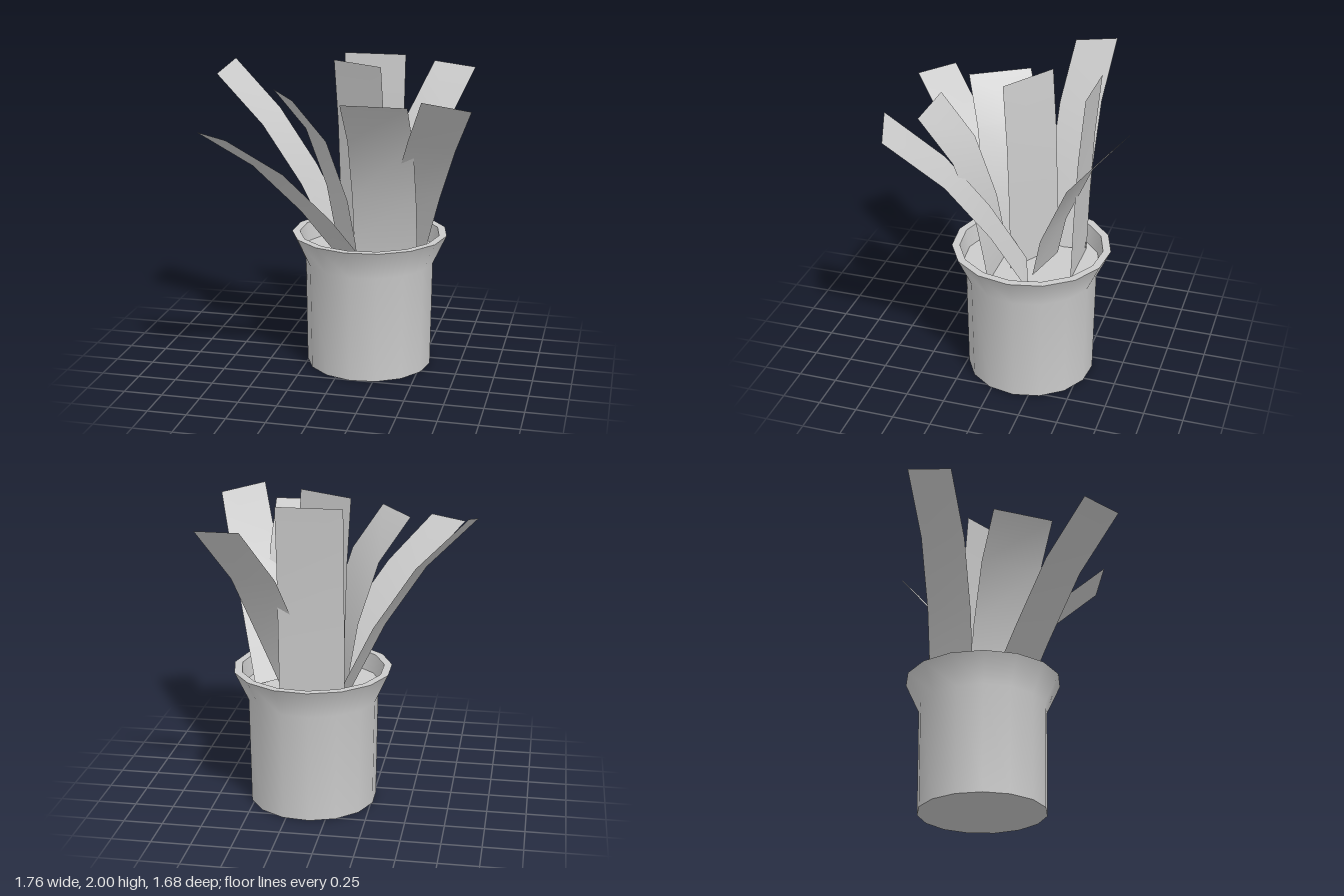
import * as THREE from 'three';

const grey = new THREE.MeshStandardMaterial({ color: 0xcccccc, side: THREE.DoubleSide });
const SIDES = 15;

// One smooth band of the pot, turned from [radius, height] points
function band(name, points) {
  const profile = points.map(([r, y]) => new THREE.Vector2(r, y));
  const mesh = new THREE.Mesh(new THREE.LatheGeometry(profile, SIDES, Math.PI / 2), grey);
  mesh.name = name;
  return mesh;
}

// Thin bent strip: centre points from root to tip, and one vector across its width
function leaf(name, centres, width) {
  const across = new THREE.Vector3(...width);
  const positions = [], index = [];
  centres.forEach((c, i) => {
    for (const s of [-0.5, 0.5]) {
      positions.push(...new THREE.Vector3(...c).addScaledVector(across, s));
    }
    if (i) {
      const a = 2 * i - 2;
      index.push(a, a + 1, a + 3, a, a + 3, a + 2);
    }
  });
  const geometry = new THREE.BufferGeometry();
  geometry.setAttribute('position', new THREE.Float32BufferAttribute(positions, 3));
  geometry.setIndex(index);
  geometry.computeVertexNormals();
  const mesh = new THREE.Mesh(geometry, grey);
  mesh.name = name;
  return mesh;
}

// Upright leaf: [reach, height] points leaning along a horizontal direction
function leaningLeaf(name, [x, z], angle, profile) {
  const dx = Math.sin(angle), dz = Math.cos(angle);
  const centres = profile.map(([d, y]) => [x + dx * d, y, z + dz * d]);
  return leaf(name, centres, [dz * 0.41, 0, -dx * 0.41]);
}

export function createModel() {
  const model = new THREE.Group();

  // Pot with flared lip and soil
  const pot = new THREE.Group();
  pot.name = 'pot';
  pot.position.set(0.142, 0, -0.152);
  pot.add(
    band('potBase', [[0, 0], [0.412, 0]]),
    band('potWall', [[0.412, 0], [0.42, 0.7], [0.508, 0.89]]),
    band('potRim', [[0.508, 0.89], [0.458, 0.89]]),
    band('potInside', [[0.458, 0.89], [0.438, 0.77]]),
    band('soil', [[0.438, 0.77], [0, 0.77]])
  );
  model.add(pot);

  // Wide leaves: two that bend outwards, two that stand almost straight
  const bent = [[0, 0.77], [0.015, 0.89], [0.07, 1.18], [0.21, 1.57], [0.425, 1.84]];
  const straight = [[0, 0.77], [0.012, 1.18], [0.032, 1.6], [0.068, 2]];
  model.add(
    leaningLeaf('frontLeaf', [0.285, 0.03], 0, bent),
    leaningLeaf('frontRightLeaf', [0.02, -0.02], -1.01, bent),
    leaningLeaf('middleLeaf', [0.1, -0.16], -0.55, straight),
    leaningLeaf('backLeaf', [0.095, -0.45], Math.PI, straight)
  );

  // Narrow leaves that arch outwards
  model.add(
    leaf('longFrontRightLeaf',
      [[0.04, 0.77, 0.03], [-0.13, 1.08, 0.22], [-0.37, 1.42, 0.46], [-0.63, 1.68, 0.745]],
      [0.24, 0, 0.18]),
    leaf('backRightLeaf',
      [[-0.08, 0.77, -0.31], [-0.3, 1.22, -0.285], [-0.55, 1.6, -0.275], [-0.86, 1.92, -0.295]],
      [-0.04, -0.06, 0.29]),
    leaf('backLeftLeaf',
      [[0.205, 0.8, -0.26], [0.315, 1.12, -0.34], [0.435, 1.55, -0.53], [0.585, 1.905, -0.8]],
      [-0.29, 0.02, -0.085]),
    leaf('frontLeftLeaf',
      [[0.36, 0.8, -0.19], [0.48, 1.21, 0.015], [0.605, 1.57, 0.25], [0.74, 1.88, 0.573]],
      [0.28, -0.06, -0.095])
  );
  return model;
}
